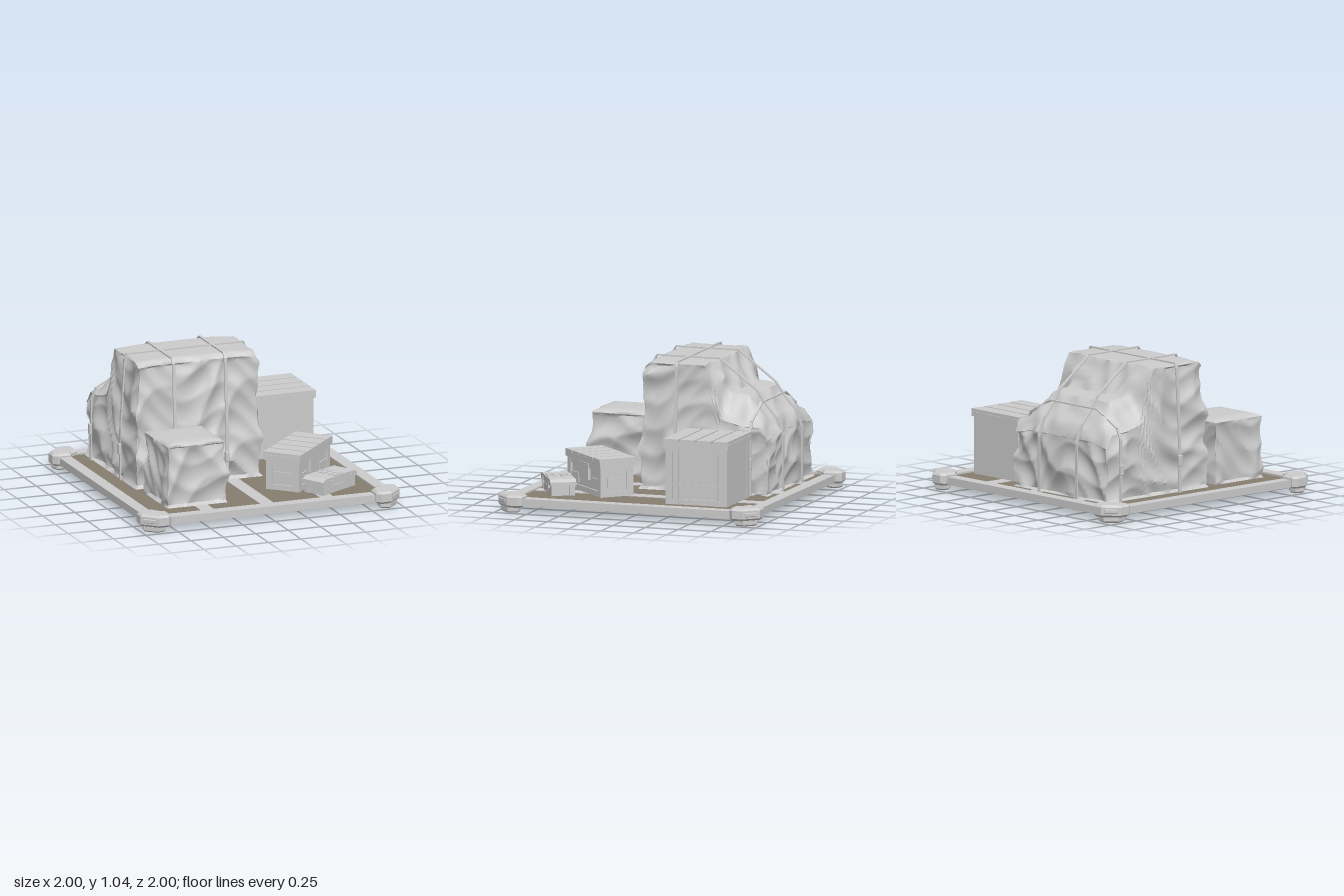
import * as THREE from 'three';
import { mergeVertices, toCreasedNormals } from 'three/addons/utils/BufferGeometryUtils.js';
import { RoundedBoxGeometry } from 'three/addons/geometries/RoundedBoxGeometry.js';

const grey = new THREE.MeshStandardMaterial({ color: 0xcccccc });
const brown = new THREE.MeshStandardMaterial({ color: 0x867d6e });

function add(parent, name, geo, x = 0, y = 0, z = 0, mat = grey) {
  const m = new THREE.Mesh(geo, mat);
  m.name = name;
  m.position.set(x, y, z);
  parent.add(m);
  return m;
}
// box given by its limits
function span(parent, name, x0, x1, y0, y1, z0, z1, mat) {
  return add(parent, name, new THREE.BoxGeometry(x1 - x0, y1 - y0, z1 - z0),
    (x0 + x1) / 2, (y0 + y1) / 2, (z0 + z1) / 2, mat);
}
function group(parent, name, x = 0, y = 0, z = 0, turn = 0) {
  const g = new THREE.Group();
  g.name = name;
  g.position.set(x, y, z);
  g.rotation.y = turn;
  parent.add(g);
  return g;
}
// piecewise linear lookup in [position, value] pairs
function lookup(table, t) {
  if (t <= table[0][0]) return table[0][1];
  for (let i = 1; i < table.length; i++) {
    const [a, va] = table[i - 1], [b, vb] = table[i];
    if (t <= b) return va + (vb - va) * (t - a) / (b - a);
  }
  return table[table.length - 1][1];
}
// sharp folds, as in pulled cloth
function folds(x, y, z) {
  const ridge = (t) => 1 - 2 * Math.abs(Math.sin(t));
  const s = x + 0.9 * z, d = x - 1.1 * z;
  return 0.45 * ridge(7 * s + 5 * y + 1.2 * Math.sin(6 * y + 3 * d))
    + 0.35 * ridge(9 * d - 8 * y + Math.sin(9 * s))
    + 0.2 * ridge(17 * y + 6 * s + 2 * Math.sin(8 * d));
}
// box wrapped in cloth: shape() moves each point, then folds push it along its normal
function clothBox(n, shape, depth) {
  let g = new THREE.BoxGeometry(1, 1, 1, n, n, n);
  g.deleteAttribute('uv');
  g.deleteAttribute('normal');
  g = mergeVertices(g);
  const p = g.attributes.position, v = new THREE.Vector3();
  for (let i = 0; i < p.count; i++) {
    shape(v.fromBufferAttribute(p, i));
    p.setXYZ(i, v.x, v.y, v.z);
  }
  g.computeVertexNormals();
  const nor = g.attributes.normal;
  for (let i = 0; i < p.count; i++) {
    v.fromBufferAttribute(p, i);
    const up = Math.abs(nor.getY(i)), side = Math.max(0, 1 - up * up);
    const k = v.y < 0.101 ? 0 : depth * side * (folds(v.x, v.y, v.z) - 0.2);
    p.setXYZ(i, v.x + nor.getX(i) * k, v.y + nor.getY(i) * k * 0.6, v.z + nor.getZ(i) * k);
  }
  return toCreasedNormals(g, 0.75);
}
// flat strap through [across, height] points; in a group whose x runs along the strap
function strap(parent, name, pts, width = 0.022) {
  for (let i = 1; i < pts.length; i++) {
    const [a, b] = pts[i - 1], [c, d] = pts[i];
    const m = add(parent, name, new THREE.BoxGeometry(Math.hypot(c - a, d - b) + 0.008, 0.01, width),
      (a + c) / 2, (b + d) / 2, 0);
    m.rotation.z = Math.atan2(d - b, c - a);
  }
}

function platform(root) {
  const g = group(root, 'platform');
  span(g, 'deck', -0.87, 0.87, 0.06, 0.09, -0.87, 0.87, brown);
  for (const x of [-0.46, 0, 0.46]) span(g, 'deckStrip', x - 0.05, x + 0.05, 0.056, 0.094, -0.87, 0.87);
  for (const s of [-1, 1]) {
    add(g, 'sideBeam', new THREE.BoxGeometry(0.09, 0.055, 1.8), s * 0.91, 0.0755, 0);
    add(g, 'endBeam', new THREE.BoxGeometry(1.8, 0.055, 0.09), 0, 0.0755, s * 0.91);
  }
  // L-shaped cast corners with a bevelled rim and a foot
  const plate = (pts, y0, y1, bevel) => {
    const shape = new THREE.Shape(pts.map(([x, z]) => new THREE.Vector2(x, z)));
    const geo = new THREE.ExtrudeGeometry(shape, { depth: y1 - y0 - 2 * bevel, bevelSize: bevel,
      bevelThickness: bevel, bevelOffset: -bevel, bevelSegments: 1 });
    geo.rotateX(Math.PI / 2).translate(0, y1 - bevel, 0);
    return geo;
  };
  const body = [[0.79, 0.87], [0.79, 0.97], [0.82, 1], [0.9, 1], [1, 0.9], [1, 0.82], [0.97, 0.79], [0.87, 0.79], [0.84, 0.84]];
  const foot = [[0.83, 0.9], [0.83, 0.96], [0.9, 0.98], [0.98, 0.9], [0.96, 0.83], [0.9, 0.83], [0.86, 0.86]];
  for (let i = 0; i < 4; i++) {
    const c = group(g, 'corner', 0, 0, 0, i * Math.PI / 2);
    add(c, 'cornerBody', plate(body, 0.04, 0.13, 0.016));
    add(c, 'cornerFoot', plate(foot, 0, 0.05, 0.01));
    const bar = add(c, 'cornerBar', new RoundedBoxGeometry(0.1, 0.03, 0.02, 1, 0.006), 0.948, 0.085, 0.948);
    bar.rotation.y = Math.PI / 4;
  }
}

function bigLoad(root) {
  const g = group(root, 'coveredLoad'), cx = -0.26;
  const middle = [[-0.82, 0.53], [-0.77, 0.62], [-0.68, 0.71], [-0.62, 0.79], [-0.48, 0.81], [-0.38, 0.96], [-0.34, 1.03], [0.14, 1.03], [0.18, 1]];
  const edge = [[-0.82, 0.5], [-0.76, 0.59], [-0.6, 0.6], [-0.46, 0.64], [-0.38, 0.92], [-0.33, 1.02], [0.14, 1.02], [0.18, 0.99]];
  add(g, 'tarpaulin', clothBox(44, (v) => {
    const z = -0.32 + v.z, out = Math.abs(v.x) * 2;
    const e = THREE.MathUtils.smoothstep(out, 0.62, 1);
    const top = lookup(middle, z) * (1 - e) + lookup(edge, z) * e;
    const y = 0.1 + (v.y + 0.5) * (top - 0.1);
    const rise = Math.max(0, y - 0.4) / 0.63;
    v.set(cx + v.x * (0.985 - 0.065 * rise), y, z - (z > -0.3 ? 0.04 * rise * (z + 0.3) / 0.48 : 0));
  }, 0.036));
  // two straps front to back, two from side to side
  const over = [[0.188, 0.1], [0.186, 0.5], [0.152, 1], [0.13, 1.035], [-0.345, 1.035], [-0.63, 0.82],
    [-0.69, 0.73], [-0.78, 0.63], [-0.832, 0.5], [-0.832, 0.1]];
  for (const x of [-0.45, -0.05]) {
    const s = group(g, 'lengthStrap', x, 0, 0, -Math.PI / 2);
    strap(s, 'strapPiece', over);
    add(s, 'buckle', new RoundedBoxGeometry(0.03, 0.07, 0.036, 1, 0.006), 0.192, 0.28, 0);
  }
  const half = [[0.5, 0.1], [0.496, 0.5], [0.465, 1], [0.45, 1.034], [0, 1.034]];
  const low = [[0.5, 0.1], [0.496, 0.55], [0.46, 0.63], [0.25, 0.74], [0, 0.74]];
  for (const [z, pts] of [[-0.11, half], [-0.68, low]]) {
    const s = group(g, 'crossStrap', cx, 0, z);
    strap(s, 'strapPiece', pts);
    strap(s, 'strapPiece', pts.map(([a, b]) => [-a, b]));
    for (const k of [-1, 1]) add(s, 'buckle', new RoundedBoxGeometry(0.024, 0.08, 0.036, 1, 0.006), k * 0.505, 0.33, 0);
  }
}

function smallLoad(root) {
  add(root, 'smallCoveredBox', clothBox(26, (v) => {
    const r = Math.max(Math.abs(v.x), Math.abs(v.z)) * 2;
    const y = 0.1 + (v.y + 0.5) * (0.475 - 0.025 * r ** 6);
    const k = 0.465 - 0.012 * Math.max(0, v.y) * 2;
    v.set(-0.495 + v.x * k, y, 0.5 + v.z * k);
  }, 0.032));
}

// crate with a core, corner posts, rails and a planked lid; planks run along x or z
function crate(root, name, x, z, turn, w, h, d, planks, alongX) {
  const g = group(root, name, x, 0.1, z, turn), lid = 0.055, top = h - lid;
  const bw = w - 0.03, bd = d - 0.03;
  add(g, 'crateCore', new THREE.BoxGeometry(bw - 0.03, top, bd - 0.03), 0, top / 2, 0);
  for (const sx of [-1, 1]) for (const sz of [-1, 1])
    add(g, 'cornerPost', new THREE.BoxGeometry(0.05, top, 0.05), sx * (bw / 2 - 0.025), top / 2, sz * (bd / 2 - 0.025));
  for (const s of [-1, 1]) for (const y of [0.02, top - 0.02]) {
    add(g, 'longRail', new THREE.BoxGeometry(bw - 0.1, 0.04, 0.014), 0, y, s * (bd / 2 - 0.01));
    add(g, 'endRail', new THREE.BoxGeometry(0.014, 0.04, bd - 0.1), s * (bw / 2 - 0.01), y, 0);
  }
  add(g, 'lidBase', new THREE.BoxGeometry(w - 0.004, lid * 0.6, d - 0.004), 0, top + lid * 0.3, 0);
  const run = alongX ? d : w, step = run / planks;
  for (let i = 0; i < planks; i++) {
    const o = -run / 2 + (i + 0.5) * step, t = step - 0.014;
    add(g, 'lidPlank', new THREE.BoxGeometry(alongX ? w : t, lid * 0.4, alongX ? t : d),
      alongX ? 0 : o, h - lid * 0.2, alongX ? o : 0);
  }
  return { g, bw, bd, top };
}

function crates(root) {
  // tall crate: closed front and back panels, double posts on the ends
  const a = crate(root, 'tallCrate', 0.55, -0.47, 0, 0.5, 0.475, 0.5, 4, true);
  for (const s of [-1, 1]) {
    add(a.g, 'facePanel', new THREE.BoxGeometry(a.bw - 0.01, a.top, 0.02), 0, a.top / 2, s * (a.bd / 2 - 0.012));
    for (const z of [-0.15, 0.15]) add(a.g, 'endPost', new THREE.BoxGeometry(0.025, a.top, 0.026), s * (a.bw / 2 - 0.008), a.top / 2, z);
    add(a.g, 'endSlat', new THREE.BoxGeometry(0.01, 0.012, a.bd - 0.1), s * (a.bw / 2 - 0.012), 0.14, 0);
  }
  // low crate, turned, with a middle block and end plates
  const b = crate(root, 'lowCrate', 0.415, 0.395, Math.PI / 4, 0.59, 0.28, 0.29, 5, false);
  for (const s of [-1, 1]) {
    add(b.g, 'middleBlock', new THREE.BoxGeometry(0.15, 0.12, 0.024), 0, 0.16, s * (b.bd / 2 - 0.006));
    for (const x of [-0.17, 0.17]) add(b.g, 'sidePlate', new THREE.BoxGeometry(0.12, 0.07, 0.012), x, 0.09, s * (b.bd / 2 - 0.012));
    add(b.g, 'endPlate', new THREE.BoxGeometry(0.012, 0.07, 0.15), s * (b.bw / 2 - 0.01), 0.1, 0);
  }
}

function toolCase(root) {
  const g = group(root, 'smallCase', 0.555, 0.665, 0, 0);
  g.position.set(0.555, 0.1, 0.665);
  g.rotation.y = Math.PI / 6;
  add(g, 'caseBody', new THREE.BoxGeometry(0.35, 0.085, 0.165), 0, 0.0425, 0);
  // lid with sloped ends
  const s = new THREE.Shape([[-0.195, 0], [0.195, 0], [0.195, 0.025], [0.165, 0.045], [-0.165, 0.045], [-0.195, 0.025]]
    .map(([x, y]) => new THREE.Vector2(x, y)));
  add(g, 'caseLid', new THREE.ExtrudeGeometry(s, { depth: 0.19, bevelEnabled: false }), 0, 0.075, -0.095);
  // open handle frames on the lid
  for (const z of [-0.05, 0.05]) {
    const f = new THREE.Shape([[-0.05, -0.035], [0.05, -0.035], [0.05, 0.035], [-0.05, 0.035]].map(([x, y]) => new THREE.Vector2(x, y)));
    f.holes.push(new THREE.Path().absellipse(0, 0, 0.034, 0.02, 0, Math.PI * 2, true));
    const geo = new THREE.ExtrudeGeometry(f, { depth: 0.008, bevelEnabled: false, curveSegments: 5 }).rotateX(-Math.PI / 2);
    add(g, 'handleFrame', geo, 0, 0.118, z);
  }
  for (const k of [-1, 1]) {
    for (const x of [-0.11, 0.11]) add(g, 'latch', new THREE.BoxGeometry(0.035, 0.05, 0.014), x, 0.075, k * 0.093);
    add(g, 'frontPlate', new THREE.BoxGeometry(0.12, 0.035, 0.01), 0, 0.04, k * 0.084);
    for (const z of [-0.065, 0.065]) add(g, 'caseCorner', new THREE.BoxGeometry(0.04, 0.08, 0.04), k * 0.165, 0.04, z);
  }
}

export function createModel() {
  const root = new THREE.Group();
  root.name = 'cargoPlatform';
  platform(root);
  bigLoad(root);
  smallLoad(root);
  crates(root);
  toolCase(root);
  return root;
}
